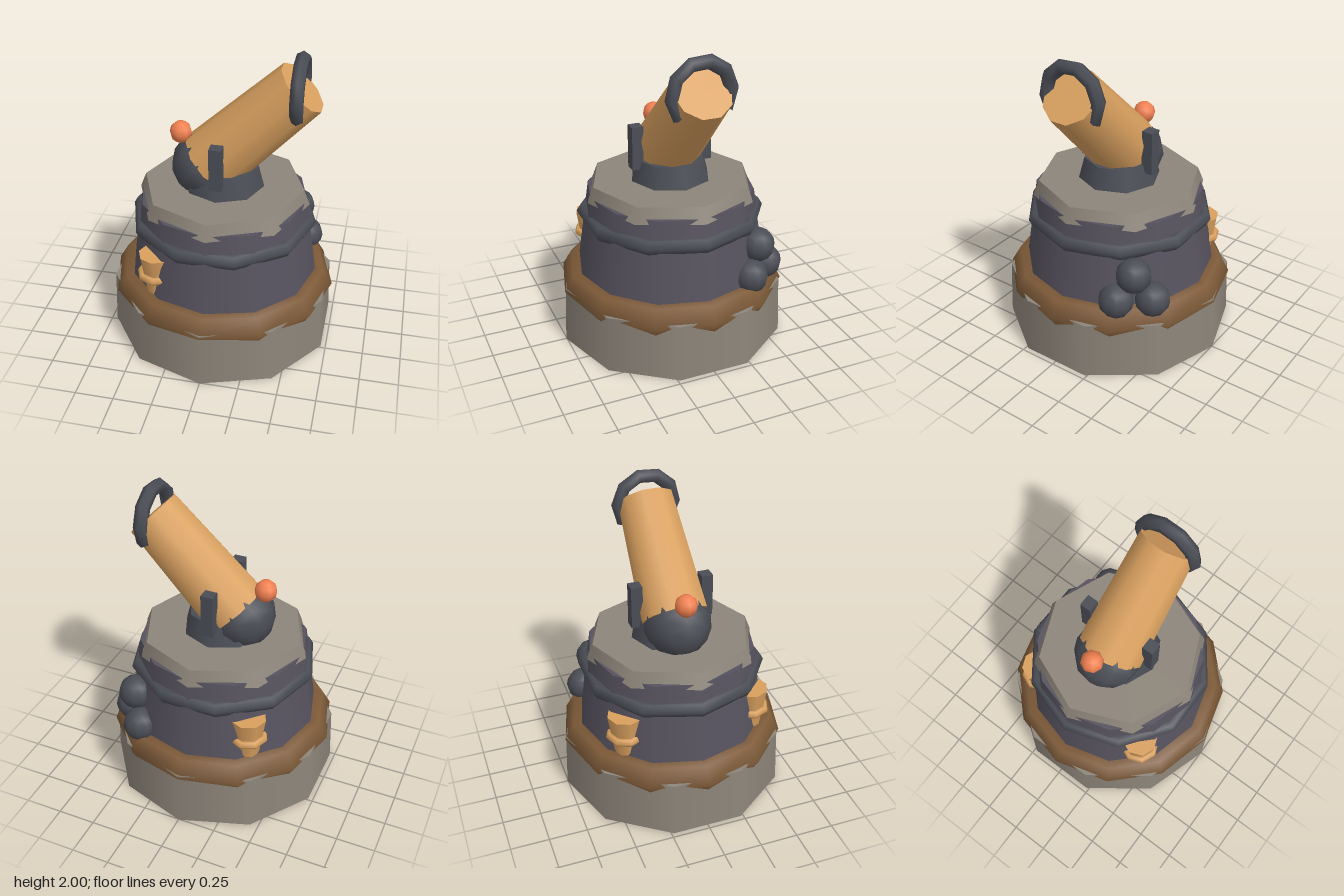
import * as THREE from 'three';

const mat = (color) => new THREE.MeshStandardMaterial({ color });

export function createModel() {
  const root = new THREE.Group();
  const stone = mat(0x8d857a), wall = mat(0x57535f), iron = mat(0x4a4d55);
  const earth = mat(0x7d5a38), brass = mat(0xd9a05f), ember = mat(0xf08050);

  const add = (name, geometry, material, x = 0, y = 0, z = 0, parent = root) => {
    const mesh = new THREE.Mesh(geometry, material);
    mesh.name = name;
    mesh.position.set(x, y, z);
    parent.add(mesh);
    return mesh;
  };
  // Tapered drum between two heights
  const drum = (name, material, y0, y1, r0, r1, sides) =>
    add(name, new THREE.CylinderGeometry(r1, r0, y1 - y0, sides), material, 0, (y0 + y1) / 2);
  // Horizontal ring with a six-sided section
  const hoop = (name, material, y, r, tube, sides, parent = root) =>
    add(name, new THREE.TorusGeometry(r, tube, 6, sides).rotateX(Math.PI / 2), material, 0, y, 0, parent);

  // Tower
  drum('foundation', stone, 0, 0.38, 0.755, 0.74, 10);
  hoop('earthRing', earth, 0.36, 0.62, 0.125, 12);
  drum('towerWall', wall, 0.35, 1.0, 0.643, 0.547, 12);
  hoop('ironBand', iron, 0.835, 0.563, 0.052, 10);
  drum('platform', stone, 0.97, 1.07, 0.565, 0.525, 8);
  drum('pedestal', iron, 1.07, 1.21, 0.265, 0.228, 8);

  // Barrel, tilted 45 degrees towards +x
  const length = 0.8;
  const gun = new THREE.Group();
  gun.name = 'gun';
  gun.position.set(-0.085, 1.22, 0);
  gun.rotation.z = -Math.PI / 4;
  root.add(gun);
  add('barrel', new THREE.CylinderGeometry(0.186, 0.22, length, 10), brass, 0, length / 2, 0, gun);
  add('breech', new THREE.SphereGeometry(0.22, 10, 8), iron, -0.005, -0.045, 0, gun);
  add('fuseBall', new THREE.SphereGeometry(0.073, 8, 6), ember, -0.28, 1.405, 0);

  // Upright open ring around the muzzle
  const arc = new THREE.TorusGeometry(0.189, 0.046, 6, 7, THREE.MathUtils.degToRad(254));
  arc.rotateZ(THREE.MathUtils.degToRad(-41)).rotateY(-Math.PI / 2);
  const ringMaterial = iron.clone();
  ringMaterial.side = THREE.DoubleSide;
  add('muzzleRing', arc, ringMaterial, 0.47, 1.77, 0);

  for (const side of [1, -1]) {
    // Barrel supports
    add('supportPost', new THREE.BoxGeometry(0.08, 0.285, 0.075), iron, 0, 1.302, side * 0.235);

    // Powder kegs half sunk into the wall
    const keg = new THREE.Group();
    keg.name = 'keg';
    keg.position.set(-0.347, 0, side * 0.425);
    root.add(keg);
    add('kegBody', new THREE.CylinderGeometry(0.117, 0.07, 0.315, 8), brass, 0, 0.5875, 0, keg);
    hoop('kegHoop', brass, 0.595, 0.103, 0.028, 8, keg);
  }

  // Stacked cannonballs
  const balls = [[0.52, 0.515, -0.34], [0.375, 0.515, -0.515], [0.445, 0.69, -0.42]];
  for (const [x, y, z] of balls) {
    add('cannonball', new THREE.SphereGeometry(0.113, 10, 8), iron, x, y, z);
  }
  return root;
}
